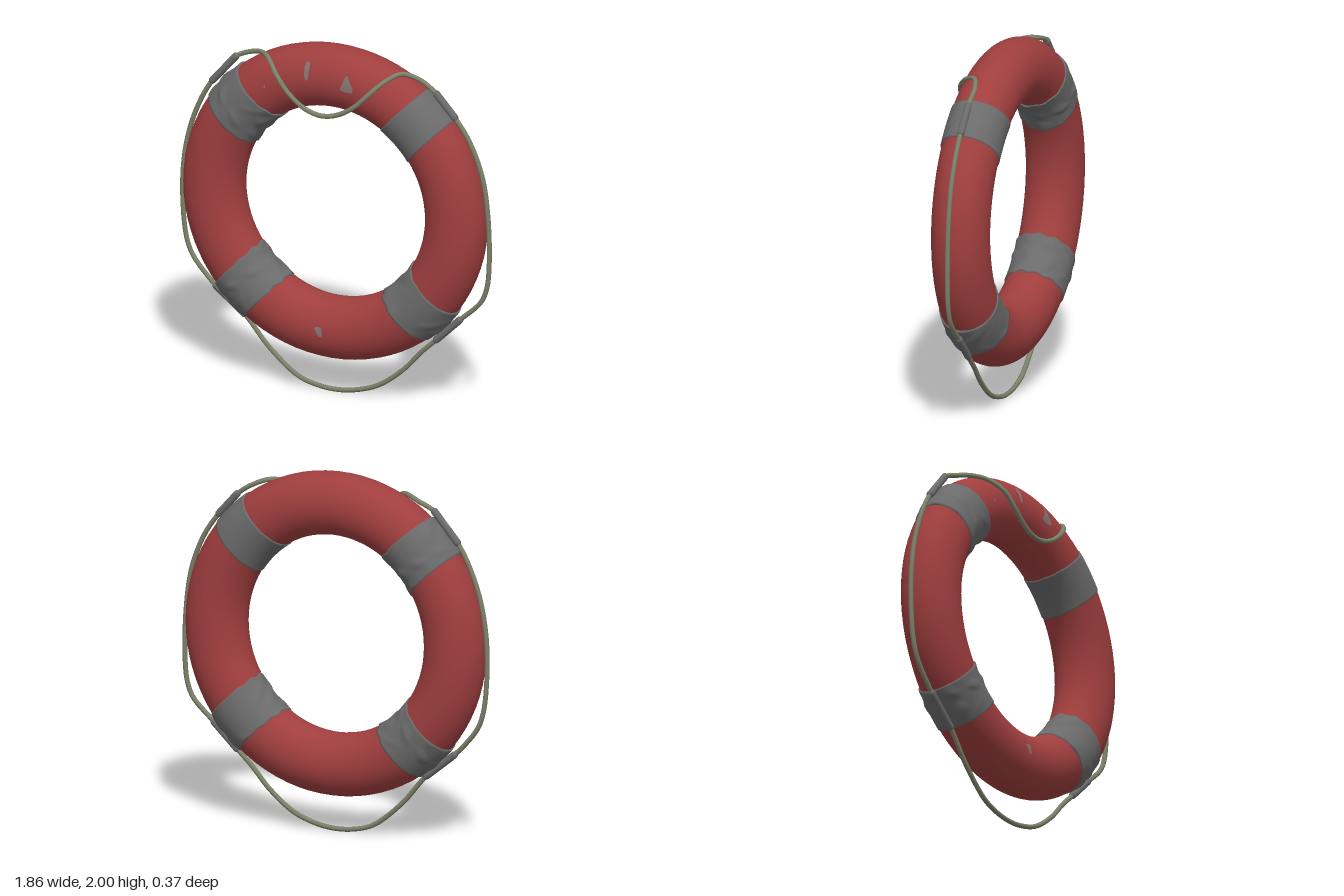
import * as THREE from 'three';

const CX = -0.004, CY = 1.1, CZ = -0.017; // ring centre
const R = 0.724, A = 0.174, B = 0.158;    // ring radius, radial and depth half sizes

const mat = (name, color, side = THREE.FrontSide) => {
  const m = new THREE.MeshStandardMaterial({ color, side });
  m.name = name;
  return m;
};

// Strip of cloth wrapped round the ring, with parallel edges and soft folds
function bandGeometry(angle, half, fold, seed) {
  const NS = 24, NP = 64, pos = [], idx = [];
  for (let i = 0; i <= NS; i++) {
    const rim = i === 0 || i === NS;
    const t = THREE.MathUtils.clamp((i - 1) / (NS - 2), 0, 1) * 2 - 1;
    for (let j = 0; j < NP; j++) {
      const p = (j / NP) * Math.PI * 2;
      const wave = Math.sin(p * 5 + seed + 2.2 * Math.sin(t * 2.5 + seed)) * Math.sin(p * 3 + t * 3 + seed * 2);
      const off = rim ? -0.004 : 0.006 + fold * Math.max(0, wave) * (1 - t * t * 0.6);
      const r = R + (A + off) * Math.cos(p);
      // slightly frayed edge towards the inside of the ring
      const fray = fold * 0.8 * Math.sin(p * 11 + seed) * Math.max(0, -Math.cos(p));
      const a = angle + Math.asin((t * (half + fray)) / r);
      pos.push(CX + r * Math.cos(a), CY + r * Math.sin(a), CZ + (B + off) * Math.sin(p));
    }
  }
  for (let i = 0; i < NS; i++) for (let j = 0; j < NP; j++) {
    const k = (j + 1) % NP, a = i * NP + j, b = a + NP, c = (i + 1) * NP + k, d = i * NP + k;
    idx.push(a, b, c, a, c, d);
  }
  const g = new THREE.BufferGeometry();
  g.setAttribute('position', new THREE.Float32BufferAttribute(pos, 3));
  g.setIndex(idx);
  g.computeVertexNormals();
  return g;
}

// Thin worn patch lying on the front of the ring; rows are [y, left x, right x]
function patchGeometry(rows) {
  const pos = [], idx = [], N = 4;
  rows.forEach(([y, x0, x1], i) => {
    for (let j = 0; j <= N; j++) {
      const x = x0 + ((x1 - x0) * j) / N;
      const d = (Math.hypot(x - CX, y - CY) - R) / A;
      pos.push(x, y, CZ + B * Math.sqrt(Math.max(0, 1 - d * d)) + 0.004);
      if (i && j) {
        const b = i * (N + 1) + j, a = b - N - 1;
        idx.push(a - 1, b - 1, b, a - 1, b, a);
      }
    }
  });
  const g = new THREE.BufferGeometry();
  g.setAttribute('position', new THREE.Float32BufferAttribute(pos, 3));
  g.setIndex(idx);
  g.computeVertexNormals();
  return g;
}

export function createModel() {
  const group = new THREE.Group();
  const red = mat('ring red', 0xa03e3e);
  const grey = mat('band grey', 0x6b6b6b);
  const olive = mat('rope olive', 0x7b8068);
  const worn = mat('worn grey', 0x857272, THREE.DoubleSide);
  const add = (name, geometry, material) => {
    const m = new THREE.Mesh(geometry, material);
    m.name = name;
    group.add(m);
    return m;
  };

  // Buoyant ring
  const ring = new THREE.TorusGeometry(R, A, 40, 80);
  ring.scale(1, 1, B / A);
  ring.translate(CX, CY, CZ);
  add('ring', ring, red);

  // Four wrapped bands: angle in degrees, half width, fold height
  const bands = [
    ['upperLeftBand', 46, 0.113, 0.001],
    ['upperRightBand', 137, 0.126, 0.009],
    ['lowerRightBand', 227, 0.12, 0.008],
    ['lowerLeftBand', 316.5, 0.122, 0.008],
  ];
  bands.forEach(([name, deg, half, fold], i) =>
    add(name, bandGeometry(THREE.MathUtils.degToRad(deg), half, fold, i * 1.7 + 0.6), grey));

  // Grab rope: hangs below, hugs the sides and dips across the front at the top
  const z = -0.015;
  const path = [
    [0, 1.65, 0.17], [-0.1, 1.675, 0.17], [-0.2, 1.75, 0.17], [-0.28, 1.835, 0.15], [-0.35, 1.89, 0.09],
    [-0.41, 1.905, 0.035], [-0.5, 1.885, -0.01], [-0.6, 1.84, z], [-0.74, 1.68, z], [-0.81, 1.56, z],
    [-0.88, 1.37, z], [-0.917, 1.14, z], [-0.912, 0.86, z], [-0.89, 0.73, z], [-0.855, 0.65, z],
    [-0.72, 0.5, z], [-0.55, 0.365, z], [-0.4, 0.195, z], [-0.23, 0.06, z], [-0.12, 0.025, z],
    [-0.01, 0.015, z], [0.1, 0.027, z], [0.25, 0.078, z], [0.4, 0.19, z], [0.51, 0.31, z],
    [0.6, 0.395, z], [0.74, 0.53, z], [0.865, 0.65, z], [0.9, 0.73, z], [0.915, 0.85, z],
    [0.91, 1.13, z], [0.875, 1.37, z], [0.8, 1.56, z], [0.71, 1.69, z], [0.6, 1.81, z],
    [0.5, 1.875, -0.015], [0.41, 1.905, 0.02], [0.35, 1.88, 0.09], [0.28, 1.815, 0.15], [0.2, 1.735, 0.17],
    [0.1, 1.672, 0.17],
  ].map(p => new THREE.Vector3(...p));
  const rope = new THREE.CatmullRomCurve3(path, true, 'centripetal');
  add('rope', new THREE.TubeGeometry(rope, 240, 0.0135, 10, true), olive);

  // Grey sleeves that hold the rope against each band
  const sleeves = [['upperRightSleeve', 7, 8], ['lowerRightSleeve', 15, 16],
    ['lowerLeftSleeve', 25, 26], ['upperLeftSleeve', 33, 34]];
  for (const [name, i, j] of sleeves) {
    const a = path[i], b = path[j];
    const sleeve = add(name, new THREE.CapsuleGeometry(0.02, a.distanceTo(b), 6, 14), grey);
    sleeve.position.copy(a).lerp(b, 0.5);
    sleeve.quaternion.setFromUnitVectors(new THREE.Vector3(0, 1, 0), b.clone().sub(a).normalize());
  }

  // Worn patches in the paint
  const patches = [
    [[1.925, -0.12, -0.095], [1.9, -0.122, -0.093], [1.875, -0.12, -0.093], [1.85, -0.117, -0.094], [1.83, -0.11, -0.097]],
    [[1.885, 0.125, 0.138], [1.865, 0.118, 0.148], [1.845, 0.112, 0.16], [1.825, 0.1, 0.172], [1.805, 0.1, 0.175], [1.797, 0.12, 0.165]],
    [[0.42, -0.045, -0.03], [0.41, -0.06, -0.012], [0.395, -0.05, -0.015], [0.38, -0.04, -0.008], [0.365, -0.03, -0.012]],
    [[1.765, -0.358, -0.352], [1.745, -0.36, -0.352]],
  ];
  patches.forEach((rows, i) => add('wornPatch' + (i + 1), patchGeometry(rows), worn));

  return group;
}
